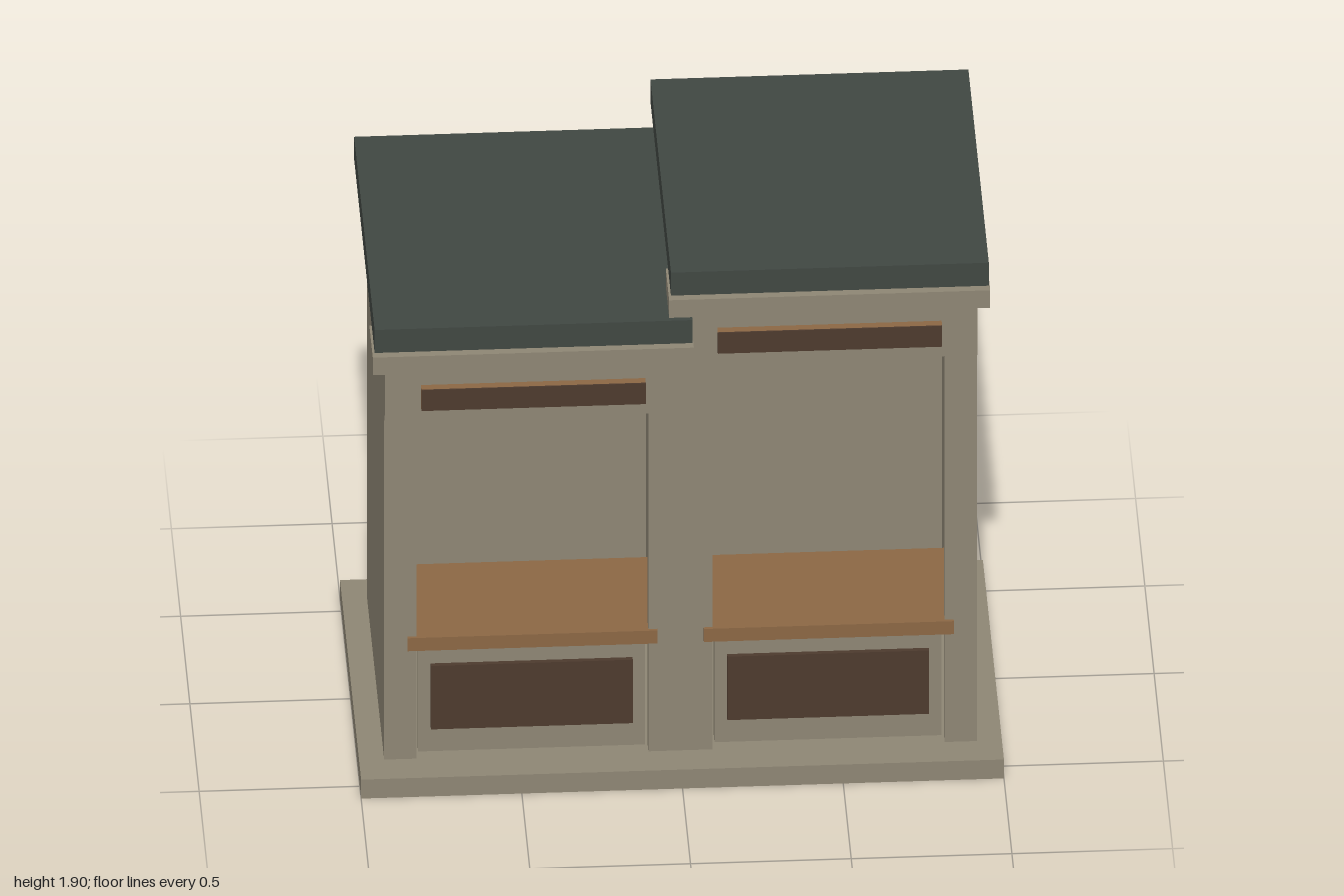
import * as THREE from 'three';

const mat = (name, color) => {
  const m = new THREE.MeshStandardMaterial({ color });
  m.name = name;
  return m;
};

export function createModel() {
  const stone = mat('taupe paint', 0x8e8674);
  const slate = mat('slate roof', 0x404742);
  const wood = mat('counter wood', 0x8b6744);
  const dark = mat('dark brown panel', 0x4d3a2e);

  // box given by its min and max along each axis
  const box = (parent, name, material, x0, x1, y0, y1, z0, z1) => {
    const m = new THREE.Mesh(new THREE.BoxGeometry(x1 - x0, y1 - y0, z1 - z0), material);
    m.position.set((x0 + x1) / 2, (y0 + y1) / 2, (z0 + z1) / 2);
    m.name = name;
    parent.add(m);
  };

  const model = new THREE.Group();
  model.name = 'twinBooth';
  box(model, 'base', stone, -1, 1, 0, 0.07, -0.57, 0.57);

  // one booth, built from x = 0 to x = W
  const W = 0.922, wall = 0.055, post = 0.1, floor = 0.07;
  const makeBay = (name, x, top) => {
    const g = new THREE.Group();
    g.name = name;
    g.position.x = x;

    // side walls, front posts, back and ceiling
    box(g, 'rightWall', stone, 0, wall, floor, top, -0.46, 0.42);
    box(g, 'leftWall', stone, W - wall, W, floor, top, -0.46, 0.42);
    box(g, 'rightPost', stone, 0, post, floor, top, 0.42, 0.46);
    box(g, 'leftPost', stone, W - post, W, floor, top, 0.42, 0.46);
    box(g, 'backPanel', stone, 0.015, W - 0.015, floor, top, -0.49, -0.46);
    box(g, 'ceiling', stone, wall, W - wall, top - 0.03, top, -0.46, 0.46);

    // lower front with its inset panel, and the counter
    box(g, 'counterFront', stone, post + 0.008, W - post - 0.008, floor, 0.475, 0.38, 0.42);
    box(g, 'lowerPanel', dark, 0.147, W - 0.147, 0.16, 0.395, 0.42, 0.435);
    box(g, 'counter', wood, 0.072, W - 0.072, 0.475, 0.523, 0.05, 0.47);

    // fascia, sign board and cornice
    box(g, 'fascia', stone, 0, W, top - 0.22, top - 0.02, 0.46, 0.5);
    box(g, 'signBoard', wood, 0.112, W - 0.112, top - 0.165, top - 0.088, 0.5, 0.526);
    box(g, 'signFace', dark, 0.112, W - 0.112, top - 0.165, top - 0.088, 0.526, 0.53);
    box(g, 'cornice', stone, -0.04, W + 0.037, top - 0.02, top + 0.045, 0.357, 0.54);

    // roof slab raised clear of the walls
    box(g, 'roof', slate, -0.035, W + 0.032, top + 0.07, top + 0.155, -0.552, 0.552);
    model.add(g);
  };

  makeBay('lowBooth', -W, 1.567);
  makeBay('tallBooth', 0, 1.745);
  return model;
}
